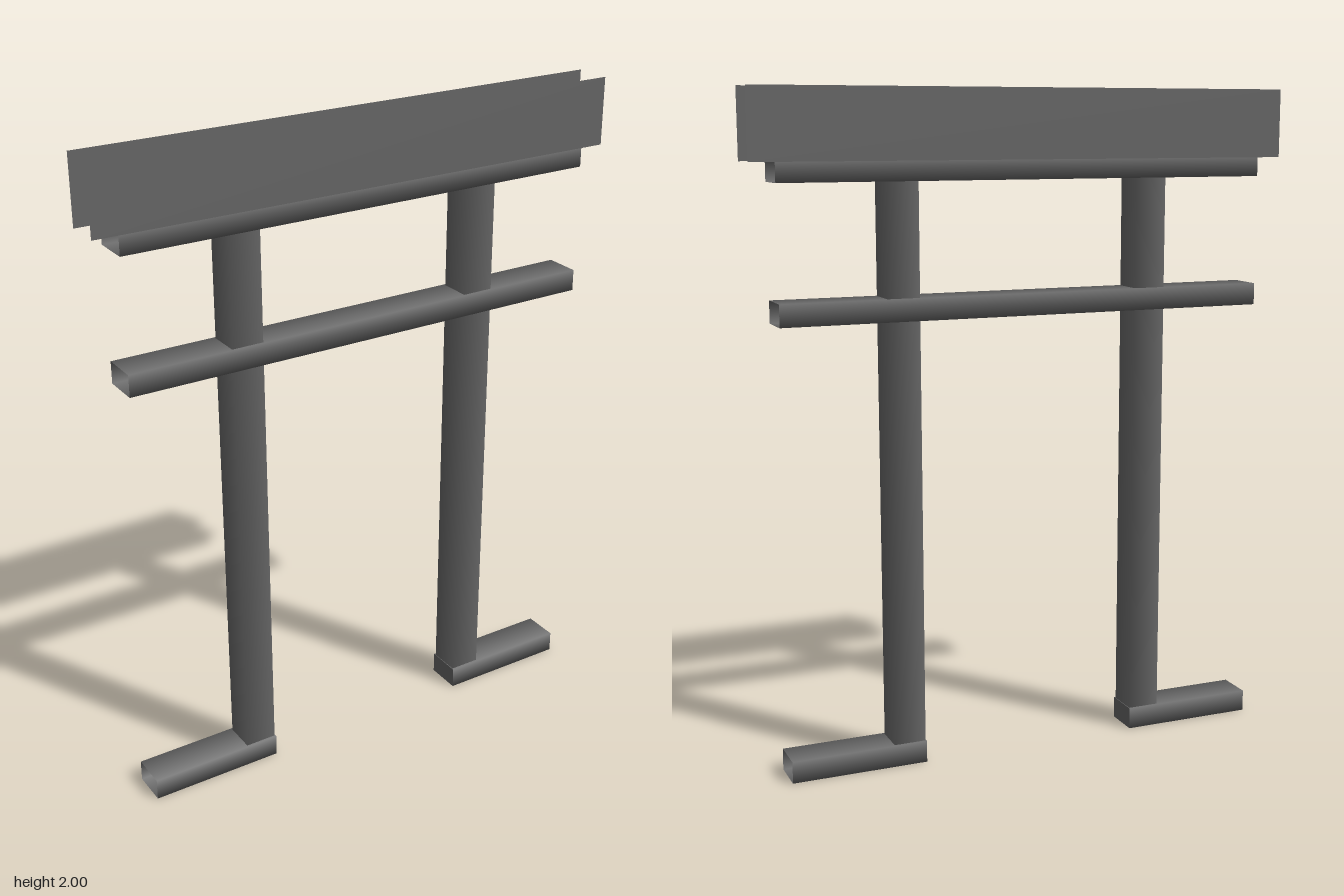
import * as THREE from 'three';

export function createModel() {
  const group = new THREE.Group();
  const grey = new THREE.MeshStandardMaterial({ color: 0x666666, side: THREE.DoubleSide });
  grey.name = 'dark grey';

  const add = (name, geometry, x, y, z) => {
    const mesh = new THREE.Mesh(geometry, grey);
    mesh.name = name;
    mesh.position.set(x, y, z);
    group.add(mesh);
    return mesh;
  };

  // Open four-sided tube with smooth normals, standing along y
  const tube = (width, length, depth) =>
    new THREE.CylinderGeometry(Math.SQRT1_2, Math.SQRT1_2, 1, 4, 1, true, Math.PI / 4)
      .scale(width, length, depth);
  // The same tube lying along x
  const beam = (length, height, depth) => tube(height, length, depth).rotateZ(Math.PI / 2);

  const beamHeight = 0.066, beamDepth = 0.112, halfBeam = 0.758;
  const postX = 0.393, footInner = 0.342;

  // Crossbeams
  add('upperBeam', beam(halfBeam * 2, beamHeight, beamDepth), 0, 1.771, 0);
  add('lowerBeam', beam(halfBeam * 2, beamHeight, beamDepth), 0, 1.374, 0);

  // Thin panels along the top, front and back
  for (const side of [1, -1]) {
    const panel = new THREE.PlaneGeometry(1.666, 0.205);
    if (side < 0) panel.rotateY(Math.PI);
    add(side > 0 ? 'frontPanel' : 'backPanel', panel, 0, 1.8975, side * 0.0565);
  }

  // Posts, and feet reaching outwards with a closed inner end
  for (const side of [1, -1]) {
    const label = side > 0 ? 'left' : 'right';
    add(label + 'Post', tube(0.098, 1.739, 0.098), side * postX, 0.9025, 0);
    const length = halfBeam - footInner;
    add(label + 'Foot', beam(length, beamHeight, beamDepth),
      side * (footInner + length / 2), beamHeight / 2, 0);
    const cap = new THREE.PlaneGeometry(beamDepth, beamHeight).rotateY(-side * Math.PI / 2);
    add(label + 'FootEnd', cap, side * footInner, beamHeight / 2, 0);
  }

  return group;
}
